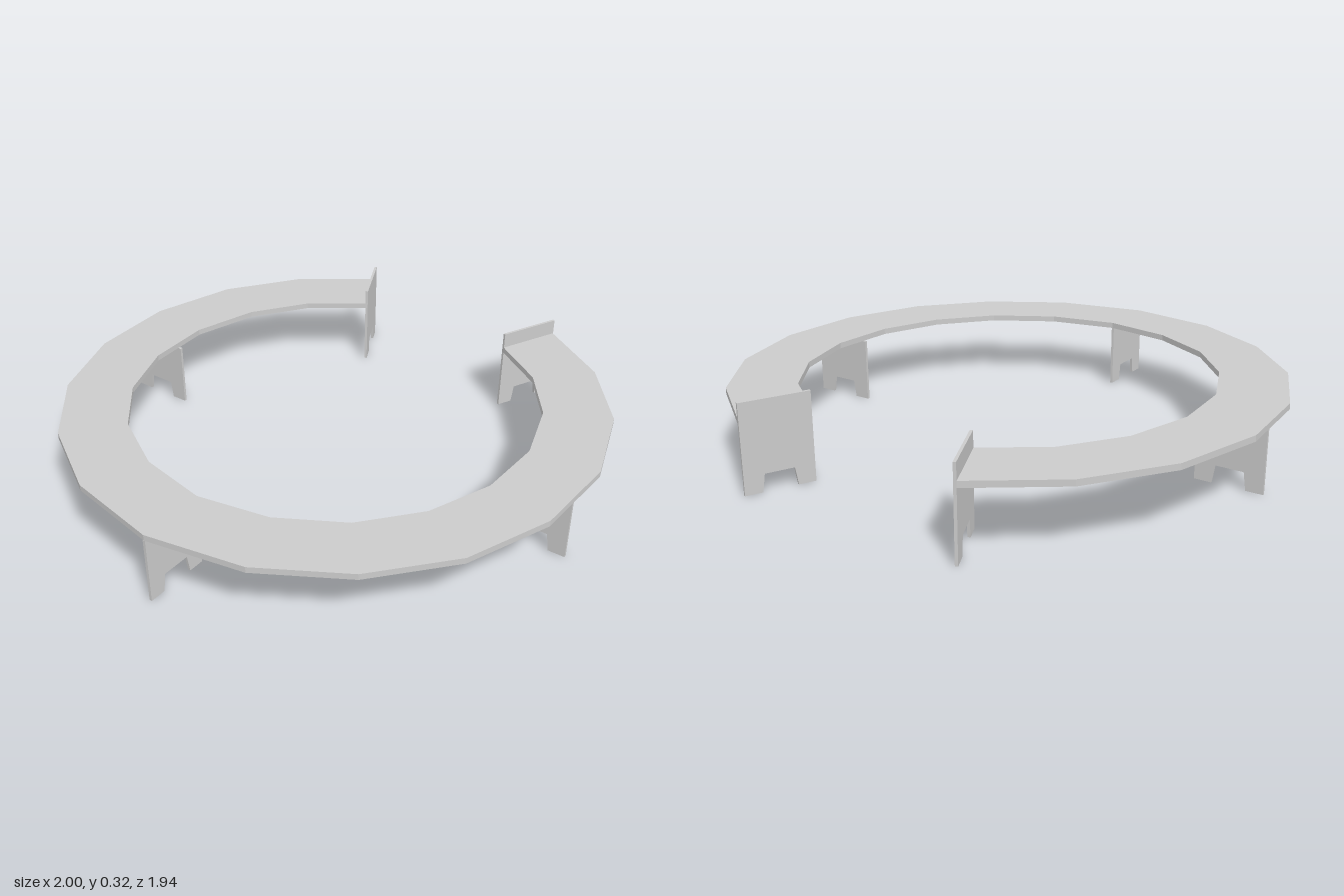
import * as THREE from 'three';

const TOP = 0.267, UNDER = 0.245, THICK = 0.01;

export function createModel() {
  const model = new THREE.Group();
  const material = new THREE.MeshStandardMaterial({ color: 0xcccccc, flatShading: true });

  function addMesh(name, geometry) {
    const mesh = new THREE.Mesh(geometry, material);
    mesh.name = name;
    model.add(mesh);
    return mesh;
  }

  // Ring table top: right half of each edge as [x, z], front to back, then mirrored
  const outer = [[0, 0.967], [0.35, 0.9], [0.64, 0.73], [0.86, 0.48], [0.983, 0.17],
    [1, -0.17], [0.905, -0.5], [0.71, -0.77], [0.43, -0.97]];
  const inner = [[0, 0.72], [0.26, 0.67], [0.485, 0.542], [0.648, 0.35], [0.74, 0.115],
    [0.752, -0.14], [0.68, -0.39], [0.535, -0.595], [0.325, -0.745]];
  const fullEdge = (half) => [
    ...half.slice(1).reverse().map(([x, z]) => [-x, z]),
    ...half,
  ];
  const outline = [...fullEdge(outer), ...fullEdge(inner).reverse()];
  const ringShape = new THREE.Shape(outline.map(([x, z]) => new THREE.Vector2(x, -z)));
  const ring = new THREE.ExtrudeGeometry(ringShape, { depth: TOP - UNDER, bevelEnabled: false });
  ring.rotateX(-Math.PI / 2).translate(0, UNDER, 0);
  addMesh('ringTop', ring);

  // Upright board with a tapered notch between two feet, from inner to outer edge
  function addBoard(name, [x0, z0], [x1, z1], height, offset) {
    const length = Math.hypot(x1 - x0, z1 - z0);
    const mid = length / 2;
    const profile = [[0, 0], [mid - 0.062, 0], [mid - 0.052, 0.065], [mid + 0.052, 0.065],
      [mid + 0.062, 0], [length, 0], [length, height], [0, height]];
    const shape = new THREE.Shape(profile.map(([x, y]) => new THREE.Vector2(x, y)));
    const geometry = new THREE.ExtrudeGeometry(shape, { depth: THICK, bevelEnabled: false });
    geometry.translate(0, 0, offset);
    const board = addMesh(name, geometry);
    board.position.set(x0, 0, z0);
    board.rotation.y = Math.atan2(z0 - z1, x1 - x0);
  }

  // Legs under the front and both sides
  addBoard('frontLeg', [0, 0.725], [0, 0.967], UNDER, -THICK / 2);
  for (const [side, s] of [['left', 1], ['right', -1]]) {
    addBoard(side + 'Leg', [0.733 * s, -0.01], [0.981 * s, -0.01], UNDER, -THICK / 2);
    // Taller boards closing the two open ends
    addBoard(side + 'EndPanel', [0.325 * s, -0.745], [0.43 * s, -0.97], 0.325, s > 0 ? 0 : -THICK);
  }

  return model;
}
